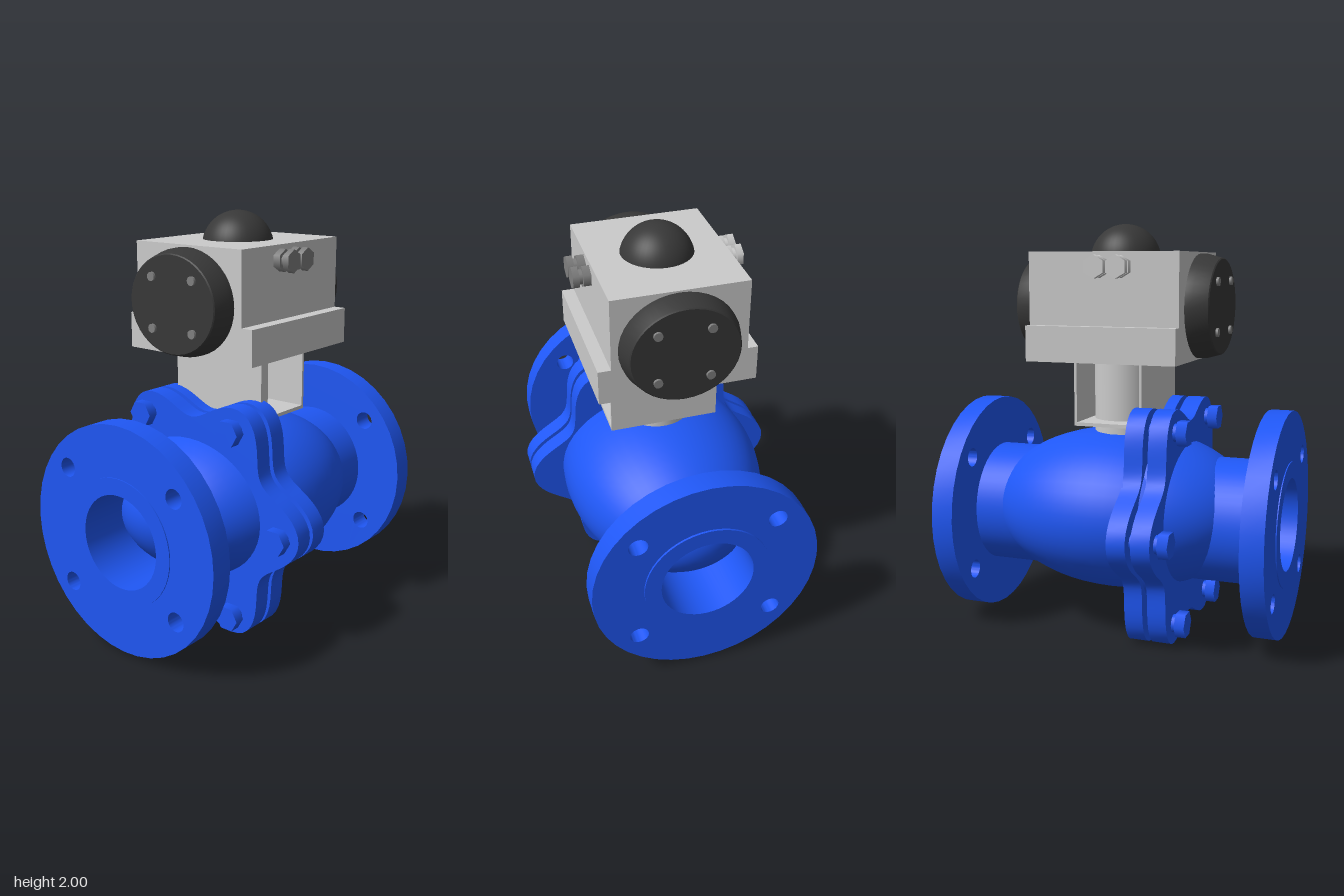
import * as THREE from 'three';
import { toCreasedNormals } from 'three/addons/utils/BufferGeometryUtils.js';

const mat = (color) => new THREE.MeshStandardMaterial({ color });
const AXIS_Y = 0.57; // height of the pipe axis

export function createModel() {
  const model = new THREE.Group();
  const blue = mat(0x1f57f5), grey = mat(0xcccccc), black = mat(0x383838), steel = mat(0x808080);

  const add = (name, geometry, material, x = 0, y = 0, z = 0) => {
    const mesh = new THREE.Mesh(geometry, material);
    mesh.name = name;
    mesh.position.set(x, y, z);
    model.add(mesh);
    return mesh;
  };
  // Box given by its limits on each axis
  const box = (name, [x0, x1], [y0, y1], [z0, z1], material) =>
    add(name, new THREE.BoxGeometry(x1 - x0, y1 - y0, z1 - z0), material,
      (x0 + x1) / 2, (y0 + y1) / 2, (z0 + z1) / 2);
  // Cylinder along x from x0 to x1
  const rodX = (name, r, x0, x1, y, z, material, sides = 16) =>
    add(name, new THREE.CylinderGeometry(r, r, x1 - x0, sides).rotateZ(-Math.PI / 2),
      material, (x0 + x1) / 2, y, z);
  // Plate extruded along x from x0 to x1
  const plateX = (name, shape, x0, x1) => {
    const geo = new THREE.ExtrudeGeometry(shape, { depth: x1 - x0, bevelEnabled: false, curveSegments: 20 });
    geo.rotateY(Math.PI / 2);
    add(name, toCreasedNormals(geo, 0.6), blue, x0, AXIS_Y, 0);
  };
  const hole = (x, y, r) => new THREE.Path().absarc(x, y, r, 0, Math.PI * 2, true);

  // Valve body
  const body = new THREE.SphereGeometry(1, 48, 32).rotateZ(Math.PI / 2).scale(0.67, 0.4, 0.5);
  add('valveBody', body, blue, 0.01, 0.6, -0.01);

  // Pipe ends with open bores and drilled round flanges
  const disc = new THREE.Shape().absarc(0, 0, 0.55, 0, Math.PI * 2, false);
  disc.holes.push(hole(0, 0, 0.29));
  for (const sx of [-1, 1]) for (const sy of [-1, 1]) disc.holes.push(hole(sx * 0.33, sy * 0.288, 0.046));
  const pipe = (name, x0, x1) => {
    const profile = [[0.225, x0], [0.305, x0], [0.305, x1], [0.225, x1], [0.225, x0]]
      .map(([r, h]) => new THREE.Vector2(r, h));
    // the profile runs so that the faces point away from the wall
    const lathe = new THREE.LatheGeometry(profile, 48).rotateZ(-Math.PI / 2);
    add(name, toCreasedNormals(lathe, 0.6), blue, 0, AXIS_Y, 0);
  };
  pipe('rightPipe', -0.83, -0.36);
  pipe('leftPipe', 0.36, 0.82);
  plateX('rightFlange', disc, -0.825, -0.715);
  plateX('leftFlange', disc, 0.70, 0.81);

  // Six-lobed joint plates
  const lobed = new THREE.Shape();
  for (let i = 0; i < 120; i++) {
    const a = (i / 120) * Math.PI * 2;
    const r = 0.56 + 0.076 * Math.cos(6 * a);
    if (i) lobed.lineTo(r * Math.cos(a), r * Math.sin(a));
    else lobed.moveTo(r, 0);
  }
  lobed.closePath();
  plateX('outerJointPlate', lobed, -0.335, -0.245);
  plateX('innerJointPlate', lobed, -0.22, -0.13);
  rodX('gasket', 0.46, -0.25, -0.21, AXIS_Y, 0, blue, 48);

  // Joint bolts
  for (let i = 0; i < 6; i++) {
    const a = (i * Math.PI) / 3;
    const y = AXIS_Y + 0.535 * Math.sin(a), z = 0.54 * Math.cos(a);
    rodX('jointBoltHead', 0.065, -0.405, -0.355, y, z, blue, 6);
    rodX('jointBoltShank', 0.043, -0.36, -0.14, y, z, blue);
  }

  // Mounting bracket and stem
  const bracketZ = [-0.24, 0.285];
  box('bracketFloor', [-0.16, 0.185], [1.033, 1.05], bracketZ, grey);
  box('bracketWall', [-0.16, -0.147], [1.035, 1.36], bracketZ, grey);
  box('bracketWall', [0.172, 0.185], [1.035, 1.36], bracketZ, grey);
  add('stem', new THREE.CylinderGeometry(0.153, 0.153, 0.4, 32), grey, 0.01, 1.16, 0.005);

  // Actuator housing
  box('actuatorHousing', [-0.36, 0.385], [1.4, 1.865], [-0.305, 0.325], grey);
  box('actuatorBase', [-0.36, 0.385], [1.35, 1.52], [-0.355, 0.385], grey);

  // Oval end caps with four screws each
  const capProfile = [[0, 0], [1, 0], [0.995, 0.035], [0.92, 0.105], [0.9, 0.11], [0, 0.11]]
    .map(([r, h]) => new THREE.Vector2(r, h));
  for (const side of [-1, 1]) {
    const face = side < 0 ? -0.37 : 0.38;
    const cap = new THREE.LatheGeometry(capProfile, 40).scale(0.275, 1, 0.25);
    cap.rotateZ(-Math.PI / 2).rotateX(Math.PI / 2);
    if (side < 0) cap.rotateY(Math.PI);
    cap.computeVertexNormals();
    add('endCap', toCreasedNormals(cap, 0.5), black, face, 1.607, 0.018);
    for (const y of [1.49, 1.727]) for (const z of [-0.095, 0.145]) {
      const [a, b] = [face + side * 0.08, face + side * 0.122];
      rodX('capScrew', 0.021, Math.min(a, b), Math.max(a, b), y, z, steel, 12);
    }
  }

  // Position indicator dome
  add('indicatorDome', new THREE.SphereGeometry(0.173, 40, 20, 0, Math.PI * 2, 0, Math.PI / 2),
    black, 0.01, 1.827, 0.008);

  // Air fittings on both long sides
  const fitting = (x, wall, dir, material) => {
    for (const [name, r, from, to, sides] of [
      ['fittingNut', 0.052, 0, 0.035, 6], ['fittingNeck', 0.034, 0.03, 0.06, 16], ['fittingHead', 0.054, 0.053, 0.083, 6]]) {
      add(name, new THREE.CylinderGeometry(r, r, to - from, sides).rotateX(Math.PI / 2),
        material, x, 1.795, wall + dir * (from + to) / 2);
    }
  };
  for (const x of [-0.083, 0.023]) {
    fitting(x, 0.325, 1, steel);
    fitting(x, -0.305, -1, grey);
  }
  return model;
}
